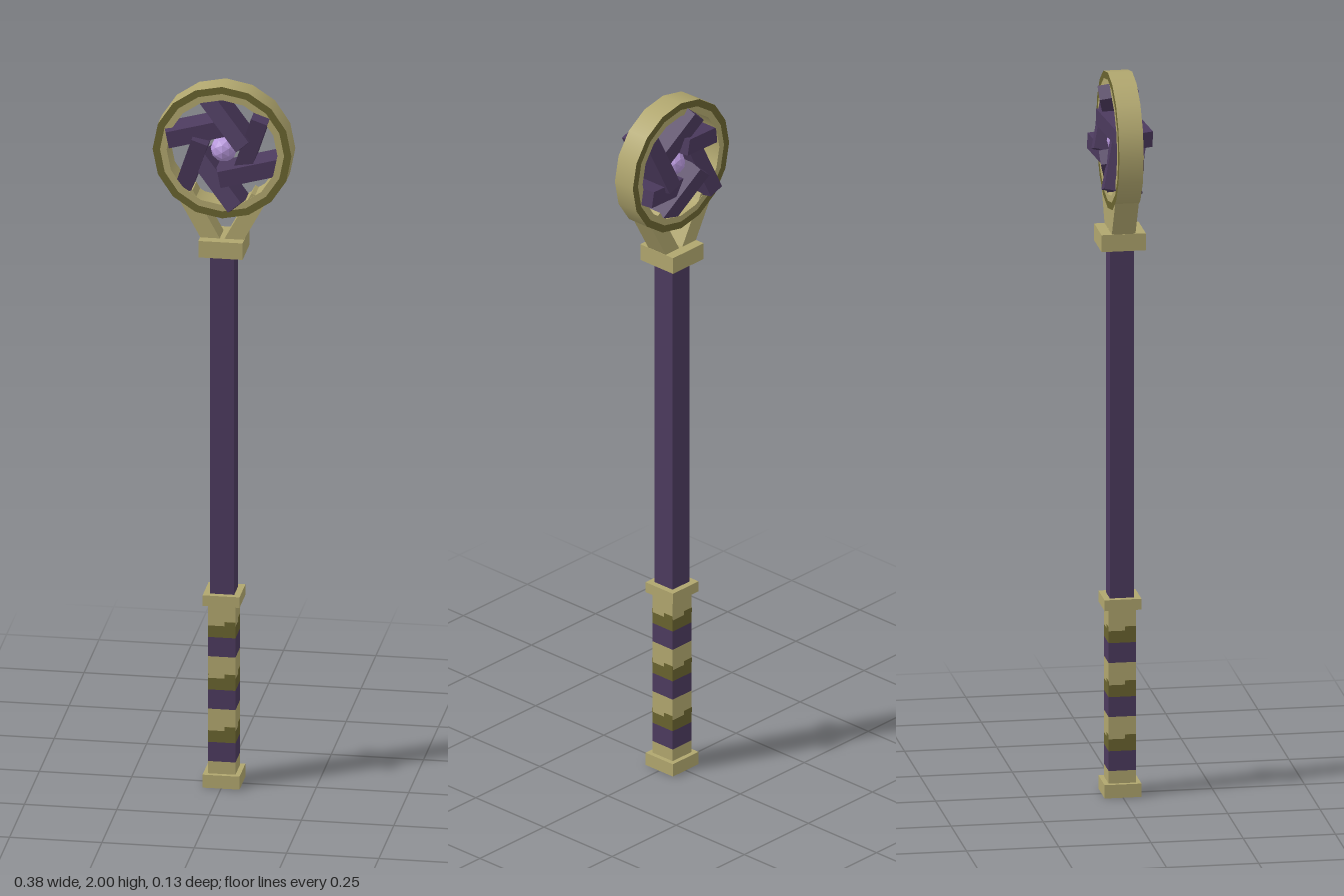
import * as THREE from 'three';

const material = (name, color, extra = {}) => {
  const m = new THREE.MeshStandardMaterial({ color, ...extra });
  m.name = name;
  return m;
};

export function createModel() {
  const brass = material('pale brass', 0xb0a66e);
  const olive = material('dark olive', 0x69632f);
  const purple = material('deep purple', 0x4c3a5e);
  const lavender = material('lavender', 0xb898dc);
  const model = new THREE.Group();
  model.name = 'staff';

  const add = (name, geometry, mat, x, y, z, parent = model) => {
    const mesh = new THREE.Mesh(geometry, mat);
    mesh.name = name;
    mesh.position.set(x, y, z);
    parent.add(mesh);
    return mesh;
  };
  // Square block spanning y0 to y1
  const block = (name, half, y0, y1, mat) =>
    add(name, new THREE.BoxGeometry(half * 2, y1 - y0, half * 2), mat, 0, (y0 + y1) / 2, 0);

  // Square shaft with its end blocks
  block('pommel', 0.05, 0, 0.037, brass);
  block('gripGuard', 0.05, 0.52, 0.55, brass);
  block('shaft', 0.033, 0.55, 1.52, purple);
  block('collar', 0.06, 1.52, 1.567, brass);

  // Wrapped grip: repeating brass, olive and purple bands
  const grip = 0.037;
  block('gripEnd', grip, 0.037, 0.072, brass);
  for (let i = 0; i < 3; i++) {
    const y = 0.072 + i * 0.15;
    block('purpleBand', grip, y, y + 0.055, purple);
    block('oliveBand', grip, y + 0.055, y + 0.088, olive);
    block('brassBand', grip, y + 0.088, i === 2 ? 0.52 : y + 0.15, brass);
    // Raised step in the olive wrap on each side
    for (let s = 0; s < 4; s++) {
      const side = new THREE.Group();
      side.name = 'wrapStep';
      side.rotation.y = s * Math.PI / 2;
      model.add(side);
      add('wrapStepPlate', new THREE.BoxGeometry(0.03, 0.014, 0.002), olive, 0.022, y + 0.093, grip, side);
    }
  }

  // Head frame: a flat ring standing upright, with two struts
  const head = new THREE.Group();
  head.name = 'head';
  head.position.y = 1.813;
  model.add(head);
  const depth = 0.033, outer = 0.188, middle = 0.168, inner = 0.15;
  const band = (name, r0, z0, r1, z1, mat) => {
    const points = [new THREE.Vector2(r0, z0), new THREE.Vector2(r1, z1)];
    add(name, new THREE.LatheGeometry(points, 16), mat, 0, 0, 0, head).rotation.x = Math.PI / 2;
  };
  band('ringRim', outer, -depth, outer, depth, brass);
  band('ringFrontEdge', outer, depth, middle, depth, olive);
  band('ringFront', middle, depth, inner, depth, brass);
  band('ringInside', inner, depth, inner, -depth, brass);
  band('ringBack', inner, -depth, middle, -depth, brass);
  band('ringBackEdge', middle, -depth, outer, -depth, olive);

  for (const side of [-1, 1]) {
    const from = new THREE.Vector2(0.026, 1.555), to = new THREE.Vector2(0.1, 1.69);
    const strut = add('strut', new THREE.BoxGeometry(0.046, from.distanceTo(to), 0.064), brass,
      side * (from.x + to.x) / 2, (from.y + to.y) / 2, 0);
    strut.rotation.z = -side * Math.atan2(to.x - from.x, to.y - from.y);
  }

  // Pinwheel of six blades, tipped forward and back in turn
  const length = 0.175;
  for (let i = 0; i < 6; i++) {
    const tipAngle = THREE.MathUtils.degToRad(167 - i * 60);
    const direction = tipAngle + THREE.MathUtils.degToRad(24);
    const x = Math.cos(tipAngle) * 0.16 - Math.cos(direction) * length / 2;
    const y = Math.sin(tipAngle) * 0.16 - Math.sin(direction) * length / 2;
    const blade = add('blade', new THREE.BoxGeometry(length, 0.046, 0.092), purple, x, y, 0, head);
    blade.rotation.set(0, (i % 2 ? 1 : -1) * 0.23, direction, 'ZYX');
  }

  // Faceted gem in the middle
  const gemMaterial = lavender;
  gemMaterial.flatShading = true;
  add('gem', new THREE.IcosahedronGeometry(0.036, 1), gemMaterial, 0, 0, 0, head);

  return model;
}
